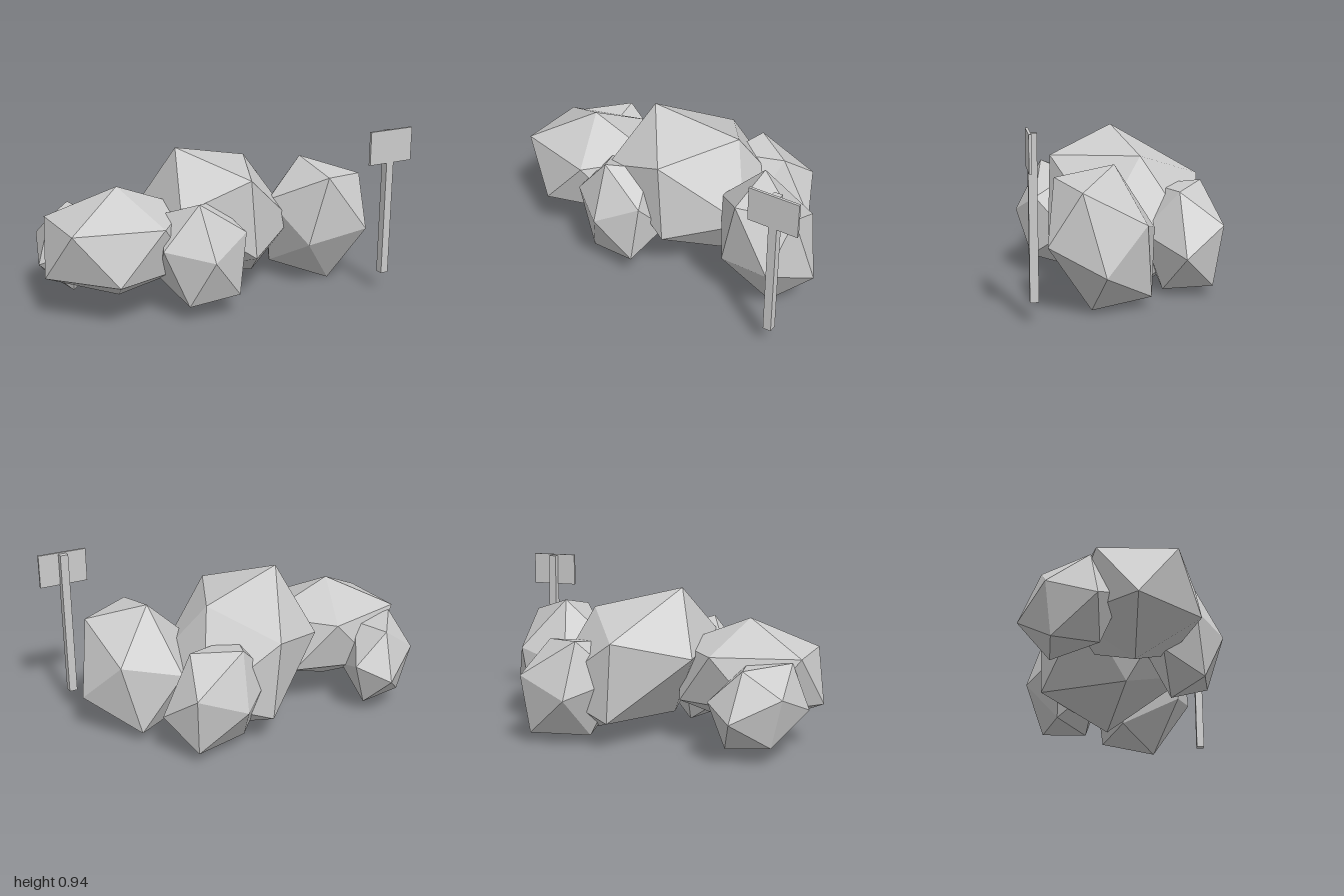
import * as THREE from 'three';
import { ConvexGeometry } from 'three/addons/geometries/ConvexGeometry.js';

const material = new THREE.MeshStandardMaterial({ color: 0xcccccc, flatShading: true });

// Stretched icosahedron: a centre, one apex and two adjacent corners of the ring
// around that apex fix all twelve corners.
function boulderGeometry(centre, apex, cornerA, cornerB) {
  const c = new THREE.Vector3(...centre);
  const axis = new THREE.Vector3(...apex).sub(c);
  const lift = axis.clone().multiplyScalar(1 / Math.sqrt(5));
  let previous = new THREE.Vector3(...cornerA).sub(c).sub(lift);
  let current = new THREE.Vector3(...cornerB).sub(c).sub(lift);
  const offsets = [axis];
  for (let i = 0; i < 5; i++) {
    offsets.push(previous.clone().add(lift));
    // Step 72 degrees round the ring
    const next = current.clone().multiplyScalar(2 * Math.cos(Math.PI * 0.4)).sub(previous);
    previous = current;
    current = next;
  }
  const points = offsets.flatMap((o) => [c.clone().add(o), c.clone().sub(o)]);
  return new ConvexGeometry(points);
}

// name, centre, apex, two ring corners
const boulders = [
  ['centreBoulder', [0.07, 0.437, -0.04], [-0.2, 0.855, -0.005], [0.07, 0.72, 0.37], [0.29, 0.735, -0.1]],
  ['rightBoulder', [-0.58, 0.39, 0.05], [-0.58, 0.7, 0.05], [-0.16, 0.53, 0.05], [-0.45, 0.53, 0.38]],
  ['leftBoulder', [0.625, 0.37, 0.147], [0.56, 0.735, 0.08], [0.56, 0.675, 0.39], [0.845, 0.64, 0.275]],
  ['frontRock', [-0.21, 0.342, 0.328], [-0.26, 0.645, 0.395], [-0.24, 0.36, 0.545], [-0.005, 0.47, 0.45]],
  ['backLeftRock', [0.345, 0.313, -0.32], [0.254, 0.594, -0.44], [0.559, 0.397, -0.503], [0.485, 0.568, -0.279]],
  ['backRightRock', [-0.727, 0.29, -0.28], [-0.68, 0.5, -0.43], [-0.644, 0.241, -0.547], [-0.885, 0.358, -0.4]],
];

function box(name, size, position) {
  const mesh = new THREE.Mesh(new THREE.BoxGeometry(...size), material);
  mesh.name = name;
  mesh.position.set(...position);
  return mesh;
}

export function createModel() {
  const model = new THREE.Group();
  model.name = 'rockPileWithSign';

  // Cluster of overlapping rocks
  const rocks = new THREE.Group();
  rocks.name = 'rocks';
  for (const [name, ...corners] of boulders) {
    const mesh = new THREE.Mesh(boulderGeometry(...corners), material);
    mesh.name = name;
    rocks.add(mesh);
  }

  // Signpost with a thin board on its front
  const sign = new THREE.Group();
  sign.name = 'sign';
  sign.add(
    box('signPost', [0.046, 0.83, 0.044], [0.858, 0.527, 0.518]),
    box('signBoard', [0.276, 0.187, 0.014], [0.858, 0.856, 0.536]),
  );

  model.add(rocks, sign);
  return model;
}
